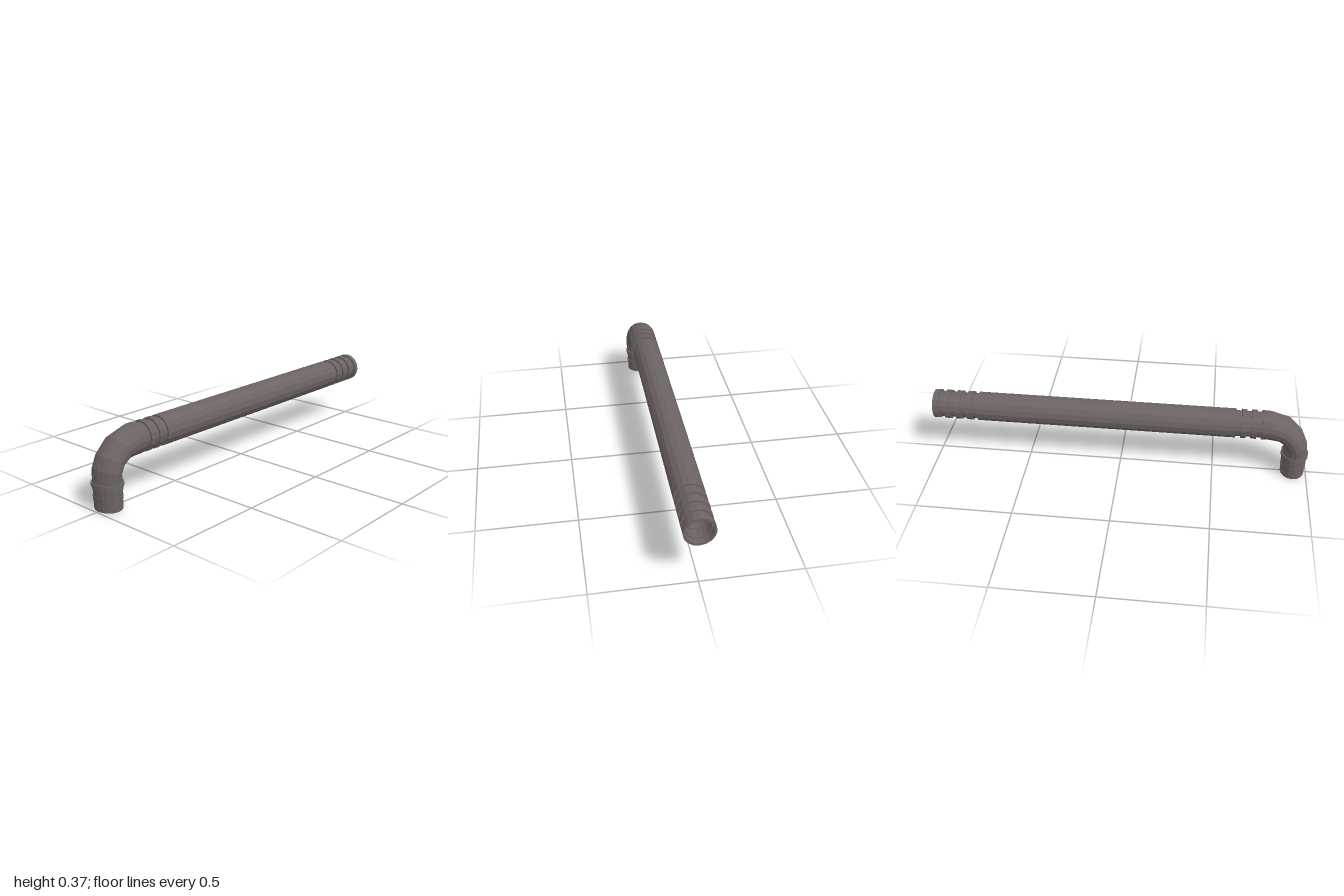
import * as THREE from 'three';

const SIDES = 16;
const AXIS_Y = 0.294; // height of the long tube
const NOZZLE_Z = 0.928; // depth of the downward nozzle

// A section is an ellipse: a = outer point [z, y], b = opposite point, w = half width in x
const along = (z, r) => ({ a: [z, AXIS_Y + r], b: [z, AXIS_Y - r], w: r });
const down = (y, r) => ({ a: [NOZZLE_Z + r * 0.87, y], b: [NOZZLE_Z - r * 0.87, y], w: r });
const shrink = ({ a, b, w }, k) => {
  const mix = (p, q) => p.map((v, i) => (v + q[i]) / 2 + ((v - q[i]) / 2) * k);
  return { a: mix(a, b), b: mix(b, a), w: w * k };
};

// Skin a row of sections with flat facets
function loft(sections) {
  const pos = [], index = [];
  sections.forEach(({ a, b, w }, i) => {
    for (let j = 0; j < SIDES; j++) {
      const t = (j / SIDES) * Math.PI * 2, c = Math.cos(t);
      pos.push(
        w * Math.sin(t),
        (a[1] + b[1]) / 2 + ((a[1] - b[1]) / 2) * c,
        (a[0] + b[0]) / 2 + ((a[0] - b[0]) / 2) * c
      );
      if (i === sections.length - 1) continue;
      const p = i * SIDES + j, q = i * SIDES + ((j + 1) % SIDES);
      index.push(p, p + SIDES, q, q, p + SIDES, q + SIDES);
    }
  });
  const geo = new THREE.BufferGeometry();
  geo.setAttribute('position', new THREE.Float32BufferAttribute(pos, 3));
  geo.setIndex(index);
  const flat = geo.toNonIndexed();
  flat.computeVertexNormals();
  return flat;
}

// Square-edged alternating rings and grooves between two depths
function ribbed(z0, z1, count, startsHigh, high, low) {
  const out = [], step = (z1 - z0) / count;
  for (let i = 0; i < count; i++) {
    const r = (i % 2 === 0) === startsHigh ? high : low;
    out.push(along(z0 + i * step, r), along(z0 + (i + 1) * step, r));
  }
  return out;
}

export function createModel() {
  const group = new THREE.Group();
  const rubber = new THREE.MeshStandardMaterial({ color: 0x6c6462 });
  rubber.name = 'warm grey rubber';
  const add = (name, sections) => {
    const mesh = new THREE.Mesh(loft(sections), rubber);
    mesh.name = name;
    group.add(mesh);
  };

  // Long straight run with a ribbed cuff at each end
  add('rearCuff', ribbed(-1, -0.76, 8, true, 0.077, 0.068));
  add('straightTube', [along(-0.76, 0.068), along(-0.76, 0.077), along(0.605, 0.077), along(0.605, 0.068)]);
  add('frontCuff', ribbed(0.605, 0.74, 5, false, 0.077, 0.068));

  // Elbow turning down
  const bend = [
    along(0.74, 0.077),
    along(0.78, 0.077),
    { a: [0.888, 0.335], b: [0.825, 0.215], w: 0.08 },
    { a: [0.957, 0.262], b: [0.855, 0.198], w: 0.082 },
    { a: [0.984, 0.2], b: [0.871, 0.165], w: 0.082 },
    down(0.13, 0.076),
  ];
  add('elbow', [along(0.74, 0.068), ...bend]);

  // Raised band and stepped nozzle
  add('collar', [down(0.133, 0.07), down(0.133, 0.082), down(0.115, 0.083), down(0.115, 0.07)]);
  add('nozzle', [
    down(0.12, 0.076), down(0.093, 0.076), down(0.093, 0.0745), down(0.07, 0.0735),
    down(0.07, 0.0765), down(0.046, 0.075), down(0.046, 0.073), down(0.025, 0.0725),
    down(0.025, 0.0735), down(0, 0.072),
  ]);

  // Hollow inside, running back from the nozzle mouth to the rear mouth
  add('innerWall', [
    down(0, 0.072), down(0, 0.064), down(0.025, 0.064), down(0.025, 0.061),
    down(0.046, 0.061), down(0.046, 0.065), down(0.07, 0.065),
    ...bend.map((s) => shrink(s, 0.84)).reverse(),
    along(-0.76, 0.064),
    ...ribbed(-1, -0.76, 8, true, 0.065, 0.058).reverse(),
    along(-1, 0.077),
  ]);

  return group;
}
